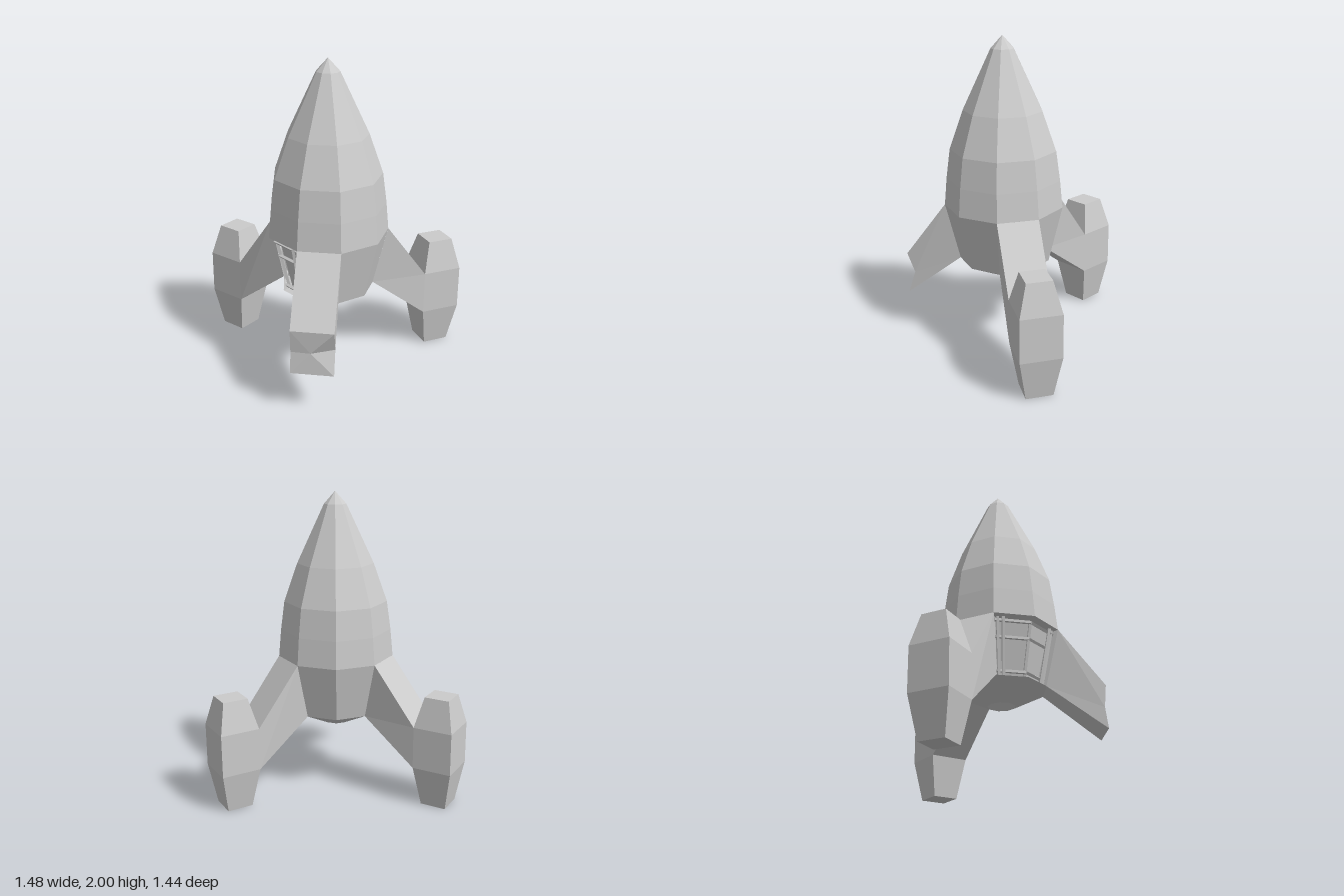
import * as THREE from 'three';

const SIDES = 9;
const rad = THREE.MathUtils.degToRad;
const flatMat = new THREE.MeshStandardMaterial({ color: 0xcccccc, flatShading: true });
const thinMat = new THREE.MeshStandardMaterial({ color: 0xcccccc, flatShading: true, side: THREE.DoubleSide });

function mesh(name, geometry, material = flatMat) {
  const geo = geometry.index ? geometry.toNonIndexed() : geometry;
  geo.computeVertexNormals();
  const m = new THREE.Mesh(geo, material);
  m.name = name;
  return m;
}

// point at angle a (degrees from +x toward +z), radius r, height y
const polar = (a, r, y) => new THREE.Vector3(r * Math.cos(rad(a)), y, r * Math.sin(rad(a)));

// faceted shell over part of the nine-sided circle
function shell(name, profile, startDeg = 3, faces = SIDES) {
  const pts = profile.map(([r, y]) => new THREE.Vector2(r, y));
  return mesh(name, new THREE.LatheGeometry(pts, faces, rad(startDeg), rad(faces * 40)));
}

function polygons(faces) {
  const pos = [];
  for (const f of faces)
    for (let i = 1; i < f.length - 1; i++) pos.push(...f[0], ...f[i], ...f[i + 1]);
  const g = new THREE.BufferGeometry();
  g.setAttribute('position', new THREE.Float32BufferAttribute(pos, 3));
  return g;
}

// faces joining a row of four-cornered sections
function loft(sections) {
  const faces = [];
  for (let s = 0; s < sections.length - 1; s++)
    for (let i = 0; i < 4; i++) {
      const j = (i + 1) % 4, a = sections[s], b = sections[s + 1];
      faces.push([a[i], b[i], b[j], a[j]]);
    }
  return faces;
}

// square bar between two points
function bar(name, p, q, r) {
  const d = q.clone().sub(p);
  const m = mesh(name, new THREE.CylinderGeometry(r, r, d.length(), 4));
  m.position.copy(p).add(q).multiplyScalar(0.5);
  m.quaternion.setFromUnitVectors(new THREE.Vector3(0, 1, 0), d.normalize());
  return m;
}

// strut continuing one face of the hull; local x points away from the hull
function strutFaces() {
  const section = (xt, yt, wt, xb, yb, wb) =>
    [[xt, yt, wt], [xt, yt, -wt], [xb, yb, -wb], [xb, yb, wb]];
  return [section(0.362, 0.92, 0.132, 0.277, 0.545, 0.101), section(0.645, 0.545, 0.13, 0.645, 0.265, 0.13)];
}

function wholeLeg() {
  const leg = new THREE.Group();
  leg.add(mesh('strut', polygons(loft(strutFaces()))));
  const rings = [
    [0, 0.69, 0.86, 0.085], [0.265, 0.645, 0.905, 0.13],
    [0.545, 0.645, 0.905, 0.13], [0.745, 0.695, 0.86, 0.08],
  ].map(([y, x0, x1, w]) => [[x1, y, w], [x0, y, w], [x0, y, -w], [x1, y, -w]]);
  const caps = [rings[0], [...rings[3]].reverse()];
  leg.add(mesh('pod', polygons([...loft(rings), ...caps])));
  return leg;
}

// leg that has lost its pod, with a crumpled, notched end
function brokenLeg() {
  const leg = new THREE.Group();
  const [a, b] = strutFaces();
  const notchA = [0.595, 0.415, -0.13], notchB = [0.63, 0.4, 0.13], centre = [0.635, 0.4, 0.01];
  const faces = [
    [a[0], b[0], b[1], a[1]],
    [a[2], b[2], b[3], a[3]],
    [notchA, b[2], a[2]], [notchA, a[2], a[1]], [notchA, a[1], b[1]],
    [notchB, b[0], a[0]], [notchB, a[0], a[3]], [notchB, a[3], b[3]],
  ];
  leg.add(mesh('strut', polygons(faces), thinMat));
  const rim = [b[0], b[1], notchA, b[2], b[3], notchB];
  const cap = rim.map((p, i) => [centre, rim[(i + 1) % 6], p]);
  leg.add(mesh('tornEnd', polygons(cap), thinMat));
  return leg;
}

// recessed machinery behind the two missing hull panels
function openBay() {
  const bay = new THREE.Group();
  bay.name = 'openBay';
  const recess = [[0.295, 0.545], [0.235, 0.56], [0.315, 0.9], [0.385, 0.92]];
  bay.add(shell('recess', recess, -157, 2));
  for (const a of [167, 247]) {
    bay.add(mesh('jamb', polygons([recess.map(([r, y]) => polar(a, r, y).toArray())]), thinMat));
    const inward = a === 167 ? 1 : -1;
    for (const step of [3, 9]) {
      const t = a + inward * step;
      bay.add(bar('post', polar(t, 0.27, 0.55), polar(t, 0.345, 0.91), 0.012));
    }
  }
  for (const [r, y] of [[0.345, 0.89], [0.315, 0.79], [0.275, 0.58]])
    for (const a of [167, 207])
      bay.add(bar('rail', polar(a, r, y), polar(a + 40, r, y), 0.012));
  bay.add(bar('centreRib', polar(207, 0.255, 0.56), polar(207, 0.335, 0.9), 0.012));
  return bay;
}

export function createModel() {
  const model = new THREE.Group();
  model.name = 'rocket';
  const rocket = new THREE.Group();
  rocket.position.set(-0.14, 0, 0.193);
  model.add(rocket);

  // hull
  rocket.add(shell('engineBase', [[0, 0.5], [0.04, 0.485], [0.09, 0.44], [0.295, 0.545]]));
  rocket.add(shell('lowerHull', [[0.295, 0.545], [0.385, 0.92]], -77, 7));
  rocket.add(shell('upperHull', [[0.385, 0.92], [0.368, 1.1], [0.342, 1.29], [0.253, 1.54], [0.073, 1.92]]));
  rocket.add(shell('noseCap', [[0.073, 1.92], [0, 2]]));
  rocket.add(openBay());

  // three legs, one of them damaged
  for (const [name, angle, make] of [
    ['leftLeg', 27, wholeLeg], ['rightBrokenLeg', 147, brokenLeg], ['backLeg', 267, wholeLeg],
  ]) {
    const leg = make();
    leg.name = name;
    leg.rotation.y = -rad(angle);
    rocket.add(leg);
  }
  return model;
}
